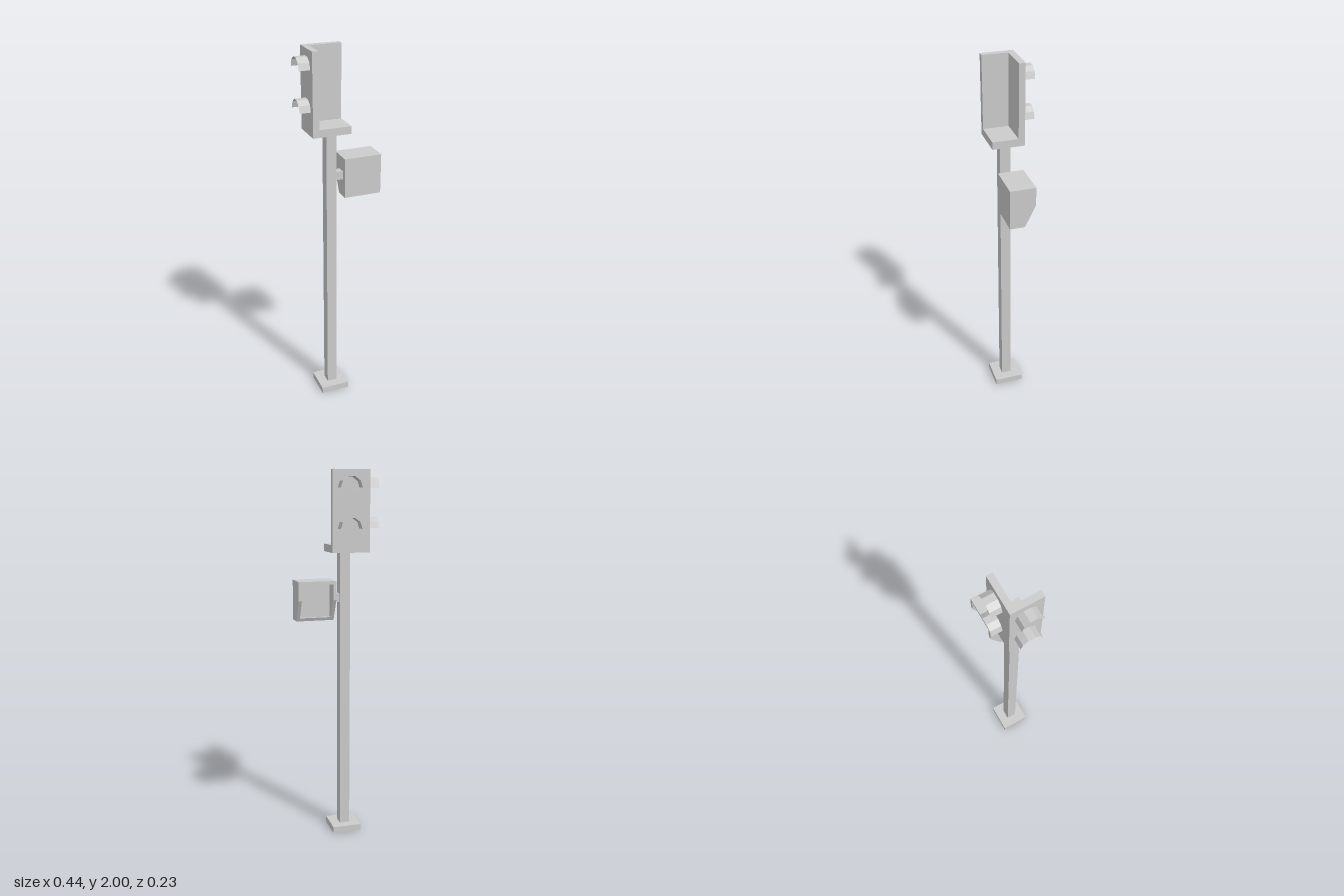
import * as THREE from 'three';

const grey = new THREE.MeshStandardMaterial({ color: 0xcccccc, flatShading: true });
const greySheet = new THREE.MeshStandardMaterial({ color: 0xcccccc, flatShading: true, side: THREE.DoubleSide });

function add(parent, name, geometry, material = grey) {
  const mesh = new THREE.Mesh(geometry, material);
  mesh.name = name;
  parent.add(mesh);
  return mesh;
}

// Box given by its minimum and maximum corners
function boxBetween([x0, y0, z0], [x1, y1, z1]) {
  return new THREE.BoxGeometry(x1 - x0, y1 - y0, z1 - z0)
    .translate((x0 + x1) / 2, (y0 + y1) / 2, (z0 + z1) / 2);
}

const polygon = (points) => new THREE.Shape(points.map(([x, y]) => new THREE.Vector2(x, y)));

// Extrude a (z, y) outline along x, from x0 to x1
function extrudeAlongX(points, x0, x1) {
  return new THREE.ExtrudeGeometry(polygon(points), { depth: x1 - x0, bevelEnabled: false })
    .rotateY(-Math.PI / 2).translate(x1, 0, 0);
}

// Ten-sided lens under a half-round hood, facing +z
function createLamp() {
  const lamp = new THREE.Group();
  lamp.name = 'lamp';
  const r = 0.058;
  add(lamp, 'lens', new THREE.CircleGeometry(r, 10).translate(0, 0, 0.002));
  add(lamp, 'hood', new THREE.CylinderGeometry(r, r, 0.058, 5, 1, true, Math.PI / 2, Math.PI)
    .rotateX(Math.PI / 2).translate(0, 0, 0.029), greySheet);
  return lamp;
}

export function createModel() {
  const model = new THREE.Group();
  model.name = 'signalPost';
  const postX = -0.047, postZ = 0.029;

  // Hollow square post on a base plate that is open underneath
  const profile = [[0.08, 0], [0.08, 0.036], [0.028, 0.036], [0.028, 1.576]]
    .map(([half, y]) => new THREE.Vector2(half * Math.SQRT2, y));
  add(model, 'postAndBase', new THREE.LatheGeometry(profile, 4, Math.PI / 4)
    .translate(postX, 0, postZ), greySheet);

  // Signal head: floor plate with two walls meeting in an L
  const head = new THREE.Group();
  head.name = 'signalHead';
  model.add(head);
  const x0 = -0.165, x1 = 0.038, z0 = -0.057, z1 = 0.112, wall = 0.033;
  add(head, 'floorPlate', boxBetween([x0, 1.575, z0], [x1, 1.615, z1]));
  const corner = polygon([
    [x0, -z1], [x0 + wall, -z1], [x0 + wall, -z0 - wall], [x1, -z0 - wall], [x1, -z0], [x0, -z0],
  ]);
  add(head, 'cornerWalls', new THREE.ExtrudeGeometry(corner, { depth: 0.385, bevelEnabled: false })
    .rotateX(-Math.PI / 2).translate(0, 1.615, 0));

  // Two lamps on each outer wall
  for (const y of [1.7, 1.907]) {
    const backLamp = createLamp();
    backLamp.position.set(postX, y, z0);
    backLamp.rotation.y = Math.PI;
    const sideLamp = createLamp();
    sideLamp.position.set(x0, y, 0.027);
    sideLamp.rotation.y = -Math.PI / 2;
    head.add(backLamp, sideLamp);
  }

  // Crossing box: recessed shell between two side cheeks, sloped below the opening
  const crossing = new THREE.Group();
  crossing.name = 'crossingBox';
  model.add(crossing);
  const bx0 = 0.018, bx1 = 0.222, t = 0.017;
  const cheek = [[0.079, 1.215], [0.079, 1.43], [-0.057, 1.43], [-0.057, 1.33], [0, 1.215]];
  const shell = [
    [0.079, 1.215], [0.079, 1.43], [-0.057, 1.43], [-0.057, 1.413],
    [0.015, 1.413], [0.015, 1.232], [-0.008, 1.232], [0, 1.215],
  ];
  add(crossing, 'shell', extrudeAlongX(shell, bx0 + t, bx1 - t));
  add(crossing, 'rightCheek', extrudeAlongX(cheek, bx0, bx0 + t));
  add(crossing, 'leftCheek', extrudeAlongX(cheek, bx1 - t, bx1));
  add(crossing, 'bracket', boxBetween([-0.022, 1.31, 0.007], [bx0, 1.355, 0.051]));

  return model;
}
